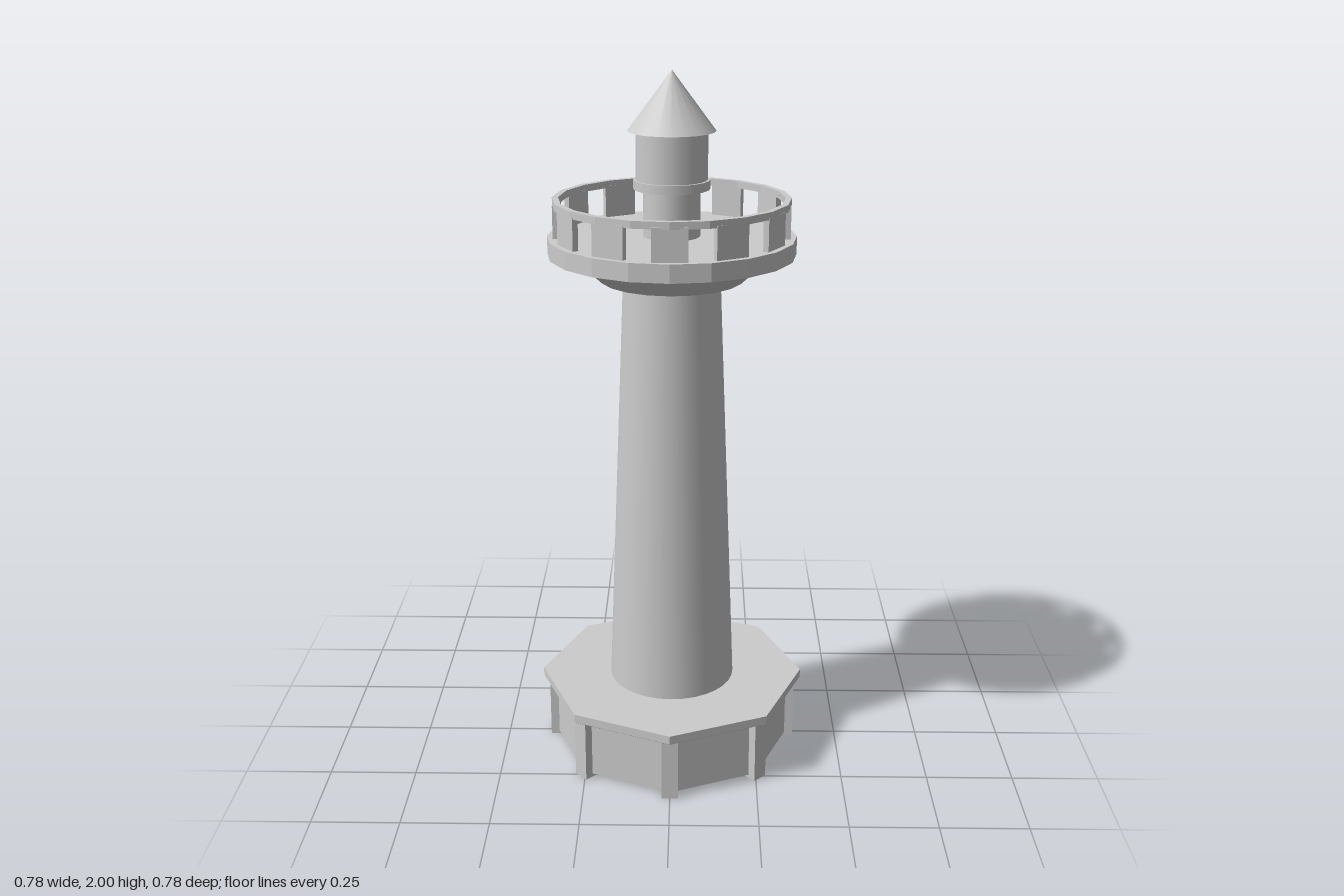
import * as THREE from 'three';

const smooth = new THREE.MeshStandardMaterial({ color: 0xcccccc, side: THREE.DoubleSide });
const faceted = new THREE.MeshStandardMaterial({ color: 0xcccccc, side: THREE.DoubleSide, flatShading: true });

export function createModel() {
  const model = new THREE.Group();
  model.name = 'lighthouse';

  const add = (name, geometry, material, parent = model) => {
    const mesh = new THREE.Mesh(geometry, material);
    mesh.name = name;
    parent.add(mesh);
    return mesh;
  };

  // Capped round or polygonal section between two heights
  const drum = (name, rBottom, rTop, y0, y1, sides, material) => {
    const geometry = new THREE.CylinderGeometry(rTop, rBottom, y1 - y0, sides);
    add(name, geometry.translate(0, (y0 + y1) / 2, 0), material);
  };

  // Hollow ring with a rectangular section
  const ring = (name, rIn, rOut, y0, y1, sides) => {
    const profile = [[rIn, y0], [rOut, y0], [rOut, y1], [rIn, y1], [rIn, y0]];
    add(name, new THREE.LatheGeometry(profile.map(p => new THREE.Vector2(...p)), sides), faceted);
  };

  // Upright boxes spaced evenly around the axis
  const posts = (name, count, radius, width, y0, y1, depth) => {
    const group = new THREE.Group();
    group.name = name + 's';
    model.add(group);
    const geometry = new THREE.BoxGeometry(width, y1 - y0, depth).translate(0, (y0 + y1) / 2, radius);
    for (let i = 0; i < count; i++) {
      add(name, geometry, faceted, group).rotation.y = (i / count) * Math.PI * 2;
    }
  };

  // Octagonal base, open underneath, with a post at each corner
  ring('baseWall', 0.34, 0.355, 0.01, 0.185, 8);
  posts('basePost', 8, 0.35, 0.046, 0, 0.185, 0.04);
  drum('baseSlabEdge', 0.375, 0.39, 0.18, 0.19, 8, faceted);
  drum('baseSlab', 0.39, 0.39, 0.19, 0.215, 8, faceted);

  // Tapering tower
  drum('tower', 0.185, 0.135, 0.2, 1.45, 32, smooth);

  // Gallery with its flared support and pierced parapet
  drum('gallerySupport', 0.2, 0.275, 1.435, 1.505, 20, smooth);
  drum('galleryFloor', 0.343, 0.343, 1.505, 1.555, 20, faceted);
  posts('parapetPost', 12, 0.315, 0.095, 1.555, 1.645, 0.016);
  ring('parapetRail', 0.31, 0.327, 1.64, 1.66, 20);

  // Lantern room and conical roof
  drum('lanternBase', 0.078, 0.078, 1.555, 1.69, 20, smooth);
  drum('lanternBand', 0.105, 0.105, 1.685, 1.71, 20, smooth);
  drum('lanternRoom', 0.098, 0.098, 1.71, 1.845, 20, smooth);
  drum('roof', 0.12, 0, 1.84, 2, 20, smooth);

  return model;
}
